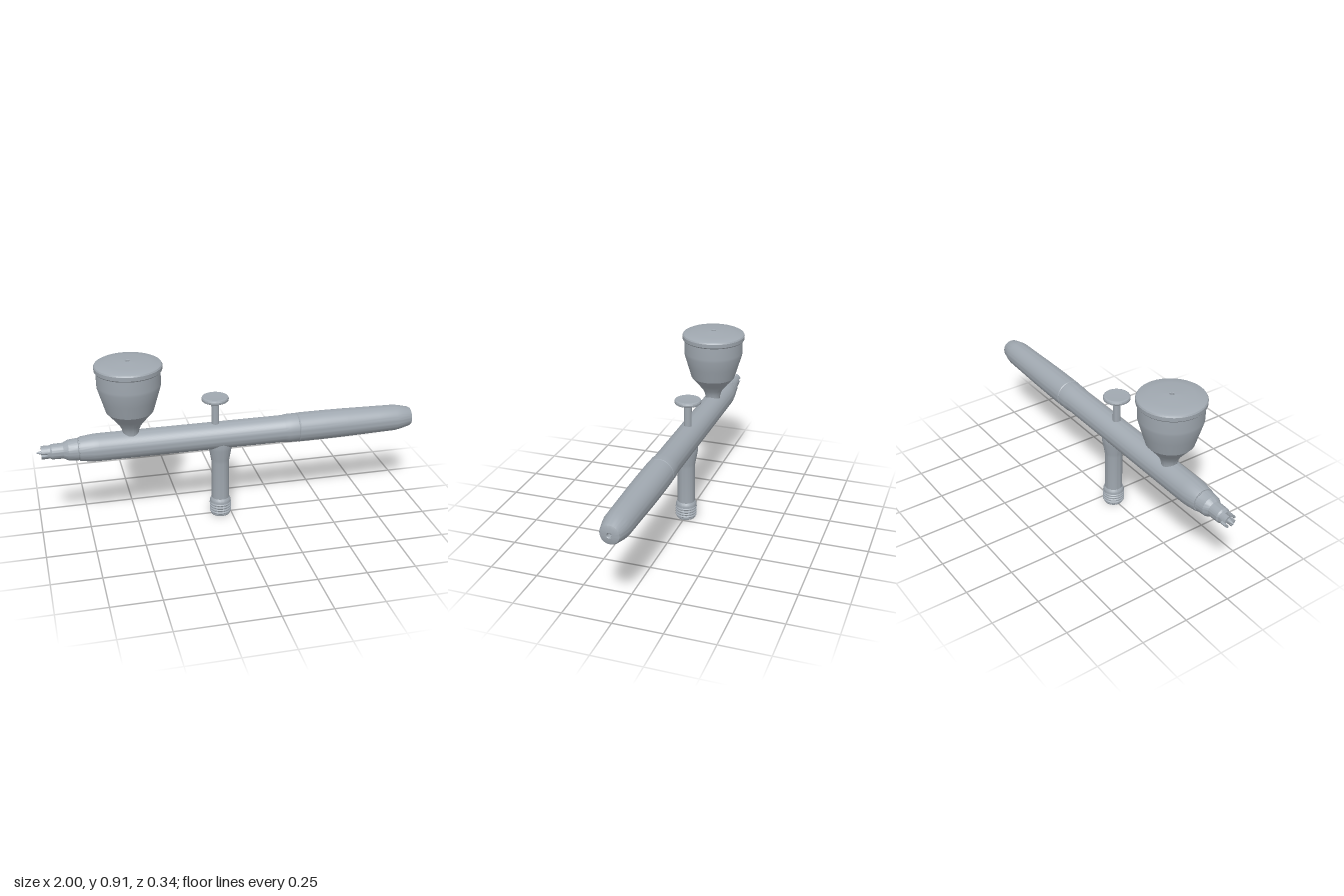
import * as THREE from 'three';
import { toCreasedNormals } from 'three/addons/utils/BufferGeometryUtils.js';

const AXIS_Y = 0.456;

export function createModel() {
  const model = new THREE.Group();
  model.name = 'airbrush';
  const steel = new THREE.MeshStandardMaterial({ color: 0xa0a8b0 });
  steel.name = 'brushed steel';

  function add(name, geometry, x, y) {
    const mesh = new THREE.Mesh(geometry, steel);
    mesh.name = name;
    mesh.position.set(x, y, 0);
    model.add(mesh);
    return mesh;
  }
  // Turned part: profile pairs are [radius, height], listed upwards along the outside
  function turned(profile, segments = 64, start = 0, sweep = Math.PI * 2) {
    const points = profile.map(([r, h]) => new THREE.Vector2(r, h));
    return toCreasedNormals(new THREE.LatheGeometry(points, segments, start, sweep), 0.4);
  }
  const upright = (name, x, profile) => add(name, turned(profile), x, 0);
  // Turned part lying along x
  const barrel = (name, profile) => add(name, turned(profile).rotateZ(-Math.PI / 2), 0, AXIS_Y);

  // Main barrel, with a slightly raised collar at the rear
  barrel('body', [
    [0, -0.785], [0.06, -0.785], [0.063, -0.775], [0.07, -0.715], [0.071, -0.69],
    [0.071, 0.28], [0.075, 0.3], [0.075, 0.354], [0.073, 0.358], [0, 0.358],
  ]);

  // Rear handle with a small bore in its end
  barrel('handle', [
    [0, 0.355], [0.073, 0.358], [0.0765, 0.363], [0.0765, 0.5], [0.075, 0.62], [0.071, 0.8],
    [0.069, 0.9], [0.064, 0.93], [0.052, 0.98], [0.047, 0.989], [0.035, 0.994],
    [0.014, 0.996], [0.011, 0.993], [0.011, 0.97], [0, 0.97],
  ]);

  // Stepped nozzle, hollow at the front
  barrel('nozzle', [
    [0, -0.9], [0.024, -0.9], [0.024, -0.945], [0.033, -0.945], [0.034, -0.93],
    [0.039, -0.922], [0.04, -0.865], [0.045, -0.855], [0.053, -0.84],
    [0.056, -0.8], [0.058, -0.792], [0.055, -0.789], [0.055, -0.78], [0, -0.78],
  ]);

  // Crown prongs around the needle
  const prongs = 4, gap = 0.5, sweep = Math.PI * 2 / prongs - gap;
  for (let i = 0; i < prongs; i++) {
    const sector = new THREE.Shape();
    const from = i * Math.PI * 2 / prongs + gap / 2;
    sector.absarc(0, 0, 0.034, from, from + sweep, false);
    sector.absarc(0, 0, 0.024, from + sweep, from, true);
    const geometry = new THREE.ExtrudeGeometry(sector, { depth: 0.032, bevelEnabled: false, curveSegments: 10 });
    add('crownProng', geometry.rotateY(Math.PI / 2), -0.974, AXIS_Y);
  }

  // Fluid tip and needle
  barrel('needle', [
    [0, -1], [0.003, -0.995], [0.011, -0.972], [0.014, -0.94], [0.016, -0.895], [0, -0.895],
  ]);

  // Gravity cup
  upright('cup', -0.52, [
    [0, 0.5], [0.04, 0.5], [0.041, 0.525], [0.046, 0.545], [0.055, 0.565], [0.085, 0.602],
    [0.12, 0.643], [0.14, 0.71], [0.159, 0.775], [0.16, 0.79], [0.16, 0.865], [0, 0.865],
  ]);

  // Domed lid with a vent hole
  upright('cupLid', -0.52, [
    [0, 0.857], [0.164, 0.857], [0.169, 0.863], [0.17, 0.883], [0.166, 0.89], [0.156, 0.895],
    [0.11, 0.901], [0.06, 0.905], [0.014, 0.908], [0.011, 0.906], [0.011, 0.89], [0, 0.89],
  ]);

  // Trigger stem and finger button
  upright('triggerStem', -0.082, [[0, 0.5], [0.02, 0.5], [0.02, 0.656], [0, 0.656]]);
  upright('triggerButton', -0.082, [
    [0, 0.652], [0.064, 0.652], [0.069, 0.656], [0.07, 0.665], [0.067, 0.672], [0.06, 0.675], [0, 0.673],
  ]);

  // Air valve below the barrel, flaring into it
  upright('airValve', -0.057, [
    [0, 0.07], [0.055, 0.07], [0.055, 0.08], [0.052, 0.088], [0.046, 0.097], [0.046, 0.305],
    [0.049, 0.325], [0.06, 0.385], [0.062, 0.4], [0.062, 0.425], [0, 0.425],
  ]);

  // Threaded hose connector with an open bore
  const thread = [[0, 0.06], [0.026, 0.06], [0.026, 0], [0.05, 0], [0.052, 0.004], [0.052, 0.01]];
  for (let i = 0; i < 4; i++) {
    const y = 0.012 + i * 0.015;
    thread.push([0.052, y], [0.057, y + 0.004], [0.057, y + 0.008], [0.052, y + 0.012]);
  }
  thread.push([0.052, 0.074], [0, 0.074]);
  upright('hoseThread', -0.057, thread);

  return model;
}
